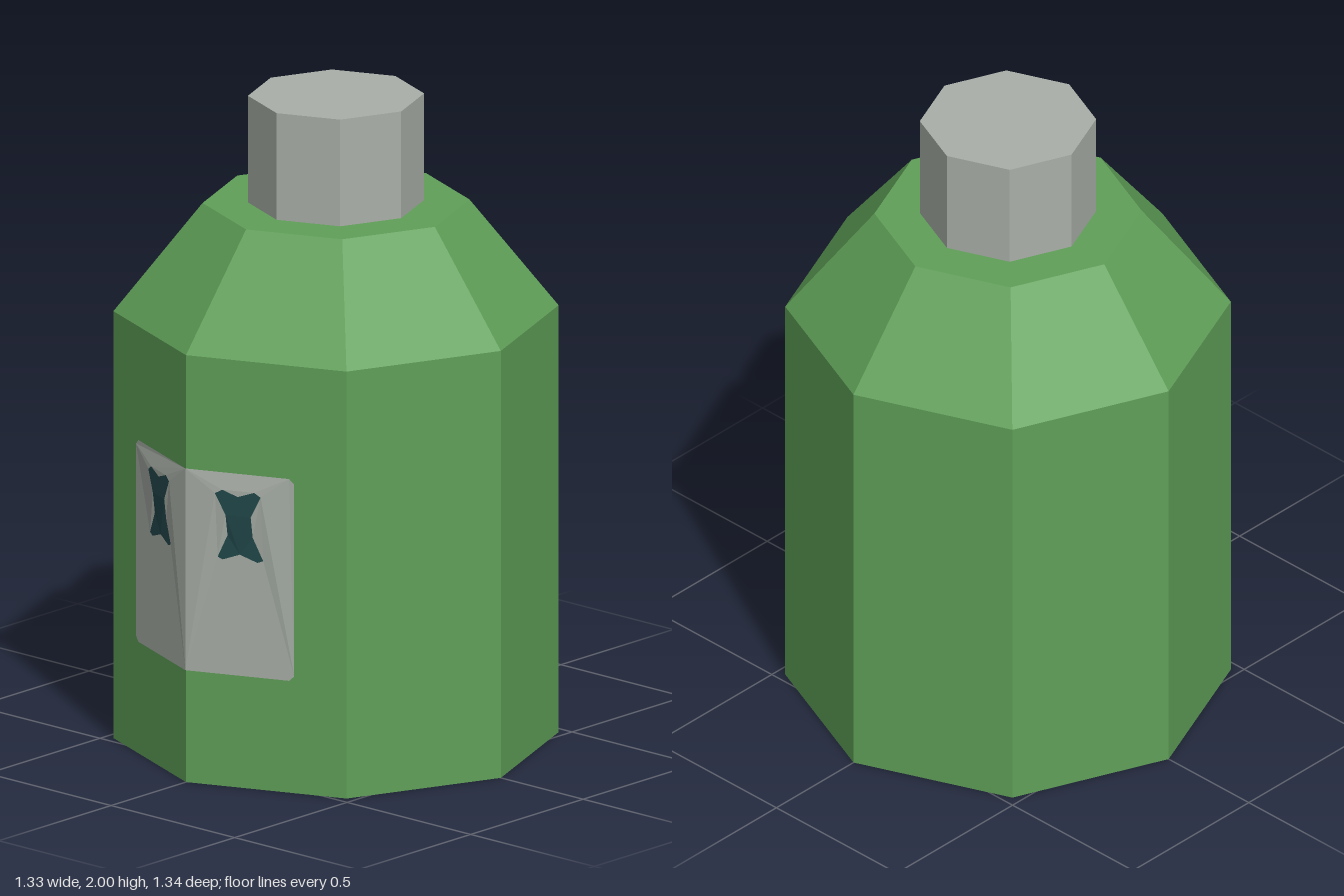
import * as THREE from 'three';

const R = 0.667;
const SLOPE = Math.tan(Math.PI / 8);

// Faceted normals for the low-poly look
function facet(geometry) {
  const flat = geometry.toNonIndexed();
  flat.computeVertexNormals();
  return flat;
}

// Eight-sided solid turned from a radius/height profile, with a corner facing front
function octagonal(profile) {
  return facet(new THREE.LatheGeometry(profile.map(([r, y]) => new THREE.Vector2(r, y)), 8));
}

// Lays a flat outline onto the two front walls; lift(y) is the distance off the wall
function onWall(shape, lift) {
  const geometry = new THREE.ShapeGeometry(shape);
  const p = geometry.attributes.position;
  for (let i = 0; i < p.count; i++) {
    p.setZ(i, R - SLOPE * Math.abs(p.getX(i)) + lift(p.getX(i), p.getY(i)));
  }
  return facet(geometry);
}

const points = (list, side) => list.map(([x, y]) => new THREE.Vector2(x * side, y));

export function createModel() {
  const model = new THREE.Group();
  const green = new THREE.MeshStandardMaterial({ color: 0x60a058, flatShading: true });
  green.name = 'bottle green';
  const grey = new THREE.MeshStandardMaterial({ color: 0xa9b0a8, flatShading: true });
  grey.name = 'light grey';
  const teal = new THREE.MeshStandardMaterial({ color: 0x22484b, flatShading: true });
  teal.name = 'dark teal';

  const add = (name, geometry, material) => {
    const mesh = new THREE.Mesh(geometry, material);
    mesh.name = name;
    model.add(mesh);
  };

  // Bottle with sloped shoulder
  add('bottle', octagonal([[0, 0], [R, 0], [R, 1.333], [0.4, 1.667], [0, 1.667]]), green);
  // Stopper
  add('cap', octagonal([[0.264, 1.667], [0.264, 2], [0, 2]]), grey);

  // Half label outline and the pinched eye outline
  const label = [[0, 0.35], [0.305, 0.35], [0.32, 0.365], [0.32, 0.965], [0.305, 0.98], [0, 0.98]];
  const eye = [
    [0.095, 0.715], [0.11, 0.708], [0.16, 0.728], [0.212, 0.708], [0.229, 0.715],
    [0.198, 0.785], [0.198, 0.85], [0.227, 0.915], [0.208, 0.928], [0.16, 0.91],
    [0.114, 0.928], [0.093, 0.915], [0.124, 0.85], [0.124, 0.785],
  ];
  // The label swells slightly around the top of each eye
  const lift = (x, y) => (y > 0.84 && y < 0.95 ? 0.012 : 0.003);

  for (const [side, word] of [[1, 'left'], [-1, 'right']]) {
    const half = new THREE.Shape(points(label, side));
    half.holes.push(new THREE.Path(points(eye, side)));
    add(word + 'Label', onWall(half, lift), grey);
    add(word + 'Eye', onWall(new THREE.Shape(points(eye, side)), lift), teal);
  }
  return model;
}
